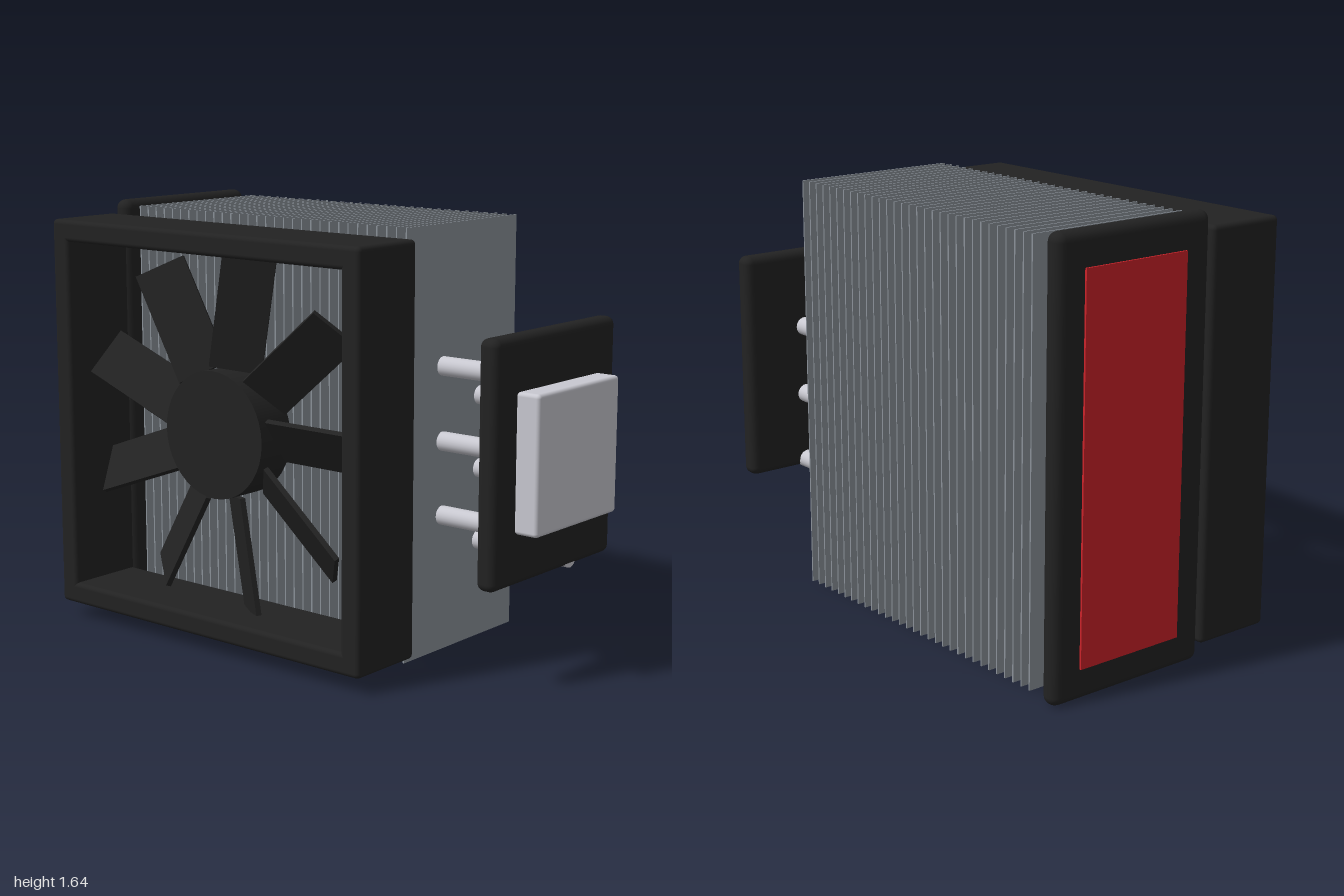
import * as THREE from 'three';
import { RoundedBoxGeometry } from 'three/addons/geometries/RoundedBoxGeometry.js';

const material = (name, color) => {
  const m = new THREE.MeshStandardMaterial({ color });
  m.name = name;
  return m;
};

export function createModel() {
  const model = new THREE.Group();
  model.name = 'cooler';
  const black = material('black plastic', 0x222222);
  const silver = material('polished silver', 0xc8c8d0);
  const grey = material('fin grey', 0x8a9199);
  const red = material('accent red', 0xcc2229);

  // Adds a box given its limits on each axis; r rounds the edges
  function box(name, mat, [x0, x1], [y0, y1], [z0, z1], r = 0, parent = model) {
    const size = [x1 - x0, y1 - y0, z1 - z0];
    const geo = r ? new RoundedBoxGeometry(...size, 3, r) : new THREE.BoxGeometry(...size);
    const mesh = new THREE.Mesh(geo, mat);
    mesh.name = name;
    mesh.position.set((x0 + x1) / 2, (y0 + y1) / 2, (z0 + z1) / 2);
    parent.add(mesh);
    return mesh;
  }

  // Fin stack
  const fins = new THREE.Group();
  fins.name = 'finStack';
  model.add(fins);
  const finCount = 31;
  for (let i = 0; i < finCount; i++) {
    const x = -0.855 + (i * 1.33) / (finCount - 1);
    box('fin', grey, [x - 0.003, x + 0.003], [0.025, 1.625], [-0.48, 0.19], 0, fins);
  }

  // Heat pipes, staggered in two rows
  const pipes = new THREE.Group();
  pipes.name = 'heatPipes';
  model.add(pipes);
  const pipeGeo = new THREE.CylinderGeometry(0.036, 0.036, 1.81, 24).rotateZ(Math.PI / 2);
  for (let i = 0; i < 6; i++) {
    const pipe = new THREE.Mesh(pipeGeo, silver);
    pipe.name = 'heatPipe';
    pipe.position.set(-0.008, 0.405 + i * 0.14, i % 2 ? -0.03 : -0.26);
    pipes.add(pipe);
  }

  // End cover with coloured panel
  box('endCover', black, [-0.99, -0.915], [0, 1.645], [-0.485, 0.205], 0.035);
  box('coverPanel', red, [-0.998, -0.989], [0.12, 1.52], [-0.37, 0.085]);

  // Mounting plate and contact block
  box('mountingPlate', black, [0.825, 0.905], [0.378, 1.275], [-0.52, 0.24], 0.03);
  box('contactBlock', silver, [0.9, 1], [0.57, 1.08], [-0.4, 0.115], 0.015);

  // Fan frame
  const frame = new THREE.Group();
  frame.name = 'fanFrame';
  model.add(frame);
  const depth = [0.205, 0.525];
  for (const y of [0.06, 1.505]) box('frameRail', black, [-1, 0.535], [y, y + 0.085], depth, 0.018, frame);
  for (const x of [-1, 0.45]) box('frameSide', black, [x, x + 0.085], [0.06, 1.59], depth, 0.018, frame);

  // Fan rotor: hub with nine pitched blades
  const rotor = new THREE.Group();
  rotor.name = 'fanRotor';
  rotor.position.set(-0.235, 0.825, 0.36);
  model.add(rotor);
  const hub = new THREE.Mesh(new THREE.CylinderGeometry(0.243, 0.243, 0.16, 40).rotateX(Math.PI / 2), black);
  hub.name = 'fanHub';
  rotor.add(hub);
  const bladeGeo = new THREE.BoxGeometry(0.445, 0.2, 0.02).rotateX(0.6).translate(0.4675, 0, 0);
  for (let i = 0; i < 9; i++) {
    const blade = new THREE.Mesh(bladeGeo, black);
    blade.name = 'fanBlade';
    blade.rotation.z = (i * Math.PI * 2) / 9;
    rotor.add(blade);
  }
  return model;
}
